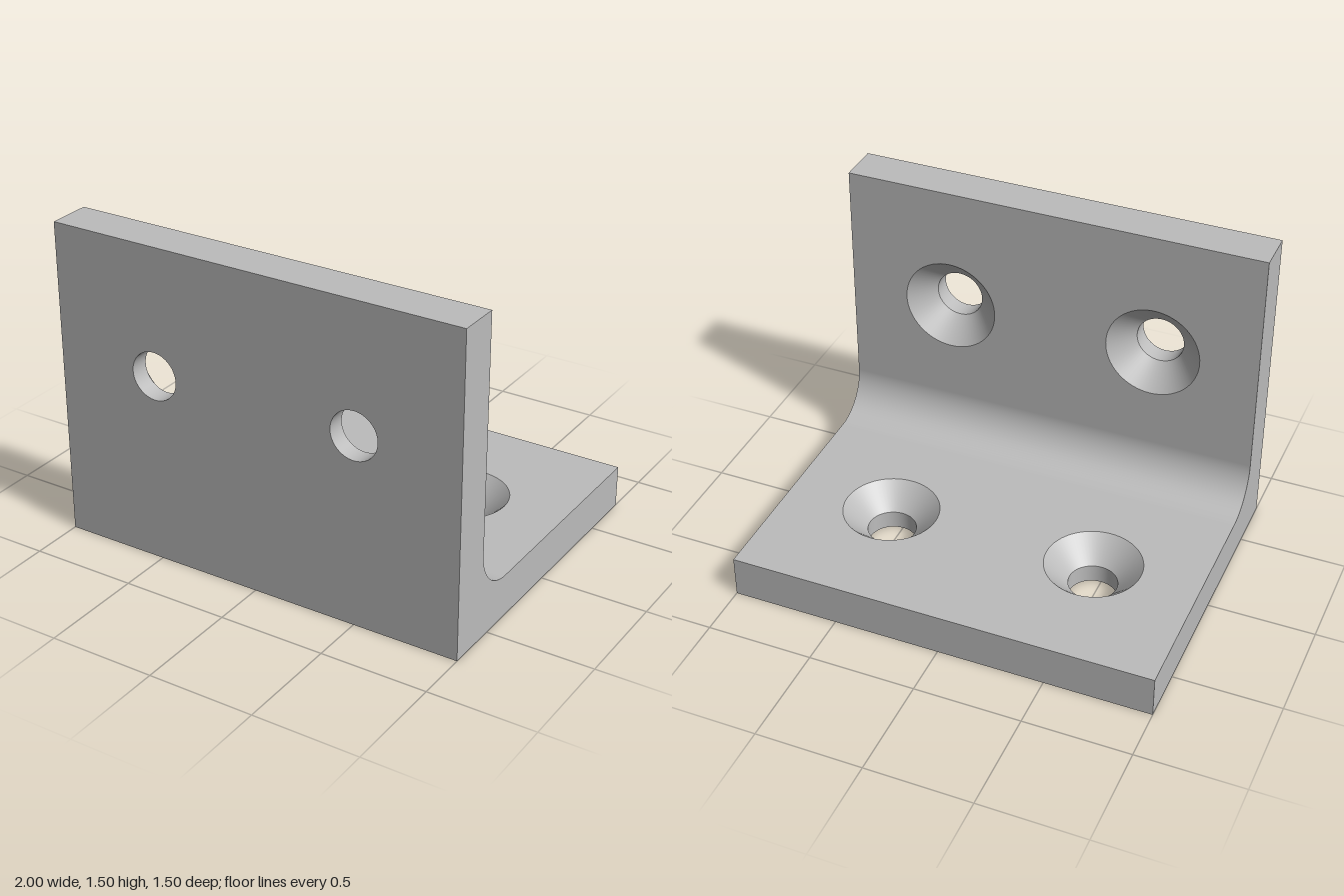
import * as THREE from 'three';

const HALF = 1, LEG = 1.5, T = 0.2, FILLET = 0.2; // half width, leg length, thickness, inner radius
const BORE = 0.113, SINK = 0.225, BORE_DEPTH = T - (SINK - BORE);
const HOLE_X = [-0.5, 0.5], HOLE_U = 0.9, FRONT = 0.75;

export function createModel() {
  const steel = new THREE.MeshStandardMaterial({ color: 0xbcbcbc });
  steel.name = 'steel grey';
  const part = (name, geometry, parent) => {
    const mesh = new THREE.Mesh(geometry, steel);
    mesh.name = name;
    parent.add(mesh);
    return mesh;
  };

  // Rectangular face with two round holes, from y = u0 to the leg end
  const drilledFace = (u0, radius) => {
    const shape = new THREE.Shape([
      new THREE.Vector2(-HALF, u0), new THREE.Vector2(HALF, u0),
      new THREE.Vector2(HALF, LEG), new THREE.Vector2(-HALF, LEG),
    ]);
    for (const x of HOLE_X) {
      shape.holes.push(new THREE.Path().absarc(x, HOLE_U, radius, 0, Math.PI * 2, true));
    }
    return new THREE.ShapeGeometry(shape, 32);
  };

  // Inward-facing wall of a hole, along z
  const holeWall = (r0, z0, r1, z1) => new THREE.LatheGeometry(
    [new THREE.Vector2(r1, z1), new THREE.Vector2(r0, z0)], 64).rotateX(Math.PI / 2);

  // One leg: runs along y from the corner, inner face towards +z
  const makeLeg = (name) => {
    const leg = new THREE.Group();
    leg.name = name;
    part('outerFace', drilledFace(0, BORE).rotateY(Math.PI), leg);
    part('innerFace', drilledFace(T + FILLET, SINK).translate(0, 0, T), leg);
    part('endFace', new THREE.PlaneGeometry(2 * HALF, T).rotateX(-Math.PI / 2)
      .translate(0, LEG, T / 2), leg);
    for (const x of HOLE_X) {
      part('bore', holeWall(BORE, 0, BORE, BORE_DEPTH), leg).position.set(x, HOLE_U, 0);
      part('countersink', holeWall(BORE, BORE_DEPTH, SINK, T), leg).position.set(x, HOLE_U, 0);
    }
    leg.position.z = FRONT;
    return leg;
  };

  const bracket = new THREE.Group();
  bracket.name = 'angleBracket';

  const base = makeLeg('baseLeg');
  base.rotation.x = -Math.PI / 2;
  const wall = makeLeg('uprightLeg');
  wall.rotation.y = Math.PI;
  bracket.add(base, wall);

  // Concave rounding in the inner corner
  const cy = T + FILLET, cz = FRONT - T - FILLET;
  part('innerFillet', new THREE.LatheGeometry(
    [new THREE.Vector2(FILLET, HALF), new THREE.Vector2(FILLET, -HALF)],
    24, Math.PI * 1.5, Math.PI / 2).rotateZ(Math.PI / 2).translate(0, cy, cz), bracket);

  // L-shaped side faces
  for (const side of [1, -1]) {
    const points = [[FRONT, 0], [FRONT, LEG], [FRONT - T, LEG]];
    for (let i = 0; i <= 24; i++) {
      const a = (i / 24) * Math.PI / 2;
      points.push([cz + FILLET * Math.cos(a), cy - FILLET * Math.sin(a)]);
    }
    points.push([FRONT - LEG, T], [FRONT - LEG, 0]);
    const shape = new THREE.Shape(points.map(([z, y]) => new THREE.Vector2(-side * z, y)));
    part(side > 0 ? 'leftSide' : 'rightSide', new THREE.ShapeGeometry(shape)
      .rotateY(side * Math.PI / 2).translate(side * HALF, 0, 0), bracket);
  }
  return bracket;
}
